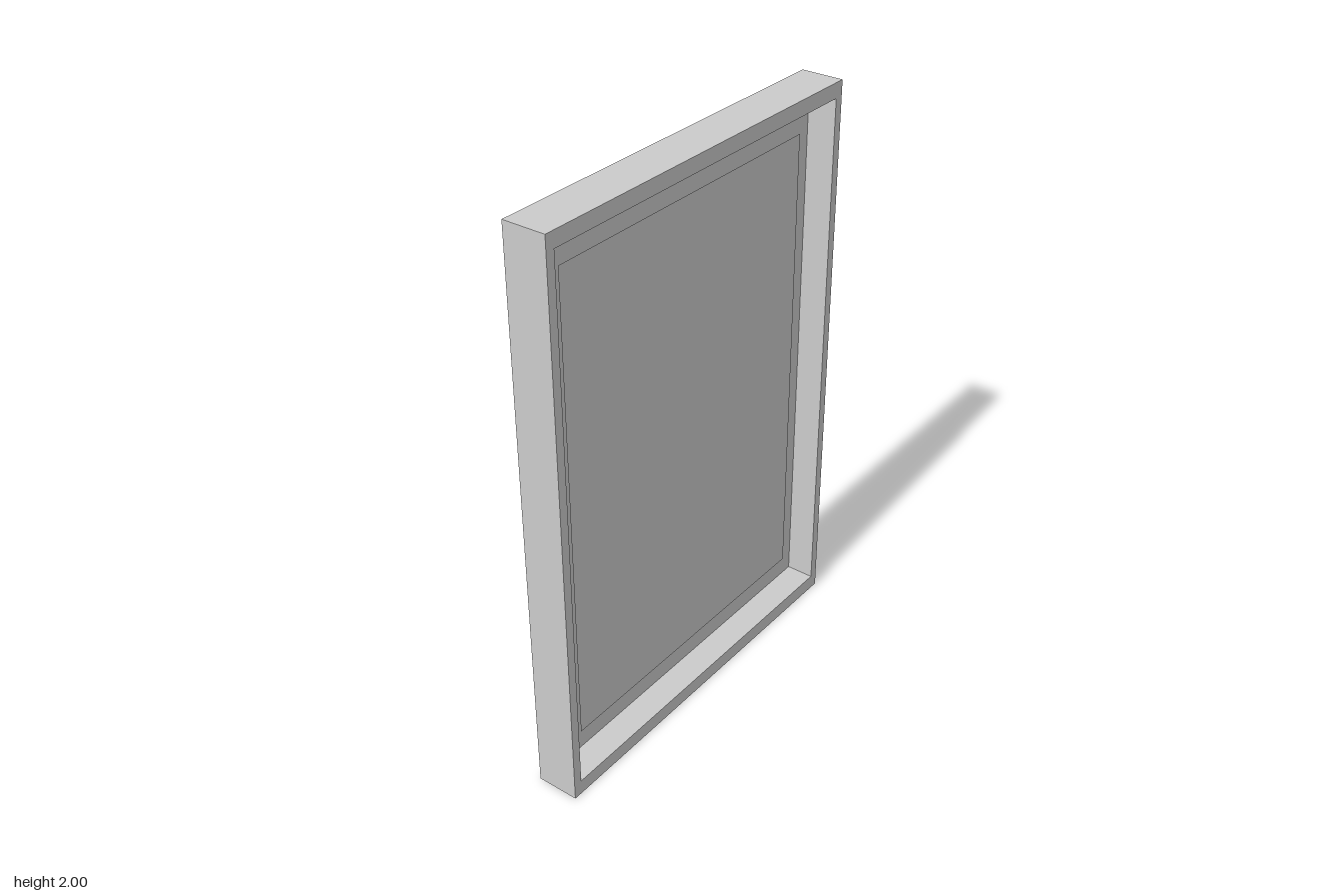
import * as THREE from 'three';

const WIDTH = 1.406, HEIGHT = 2, DEPTH = 0.15;     // outer size (along z, y, x)
const OPEN_W = 1.342, OPEN_H = 1.894;              // opening of the frame
const PANEL_W = 1.162, PANEL_H = 1.682;            // picture panel
const FLOOR_X = -0.027, PANEL_X = 0.003;           // depth of backing and panel

function rectangle(target, w, h) {
  target.moveTo(-w / 2, -h / 2);
  target.lineTo(w / 2, -h / 2);
  target.lineTo(w / 2, h / 2);
  target.lineTo(-w / 2, h / 2);
  target.closePath();
  return target;
}

export function createModel() {
  const group = new THREE.Group();
  const grey = new THREE.MeshStandardMaterial({ color: 0xcccccc });
  grey.name = 'pale grey';

  const add = (name, geometry, x) => {
    const mesh = new THREE.Mesh(geometry, grey);
    mesh.name = name;
    mesh.position.set(x, HEIGHT / 2, 0);
    group.add(mesh);
  };

  // Rim around the recess, open towards +x
  const rim = rectangle(new THREE.Shape(), WIDTH, HEIGHT);
  rim.holes.push(rectangle(new THREE.Path(), OPEN_W, OPEN_H));
  const rimGeometry = new THREE.ExtrudeGeometry(rim, { depth: DEPTH / 2 - FLOOR_X, bevelEnabled: false });
  add('frame', rimGeometry.rotateY(Math.PI / 2), FLOOR_X);

  // Solid back, whose front face is the floor of the recess
  const backDepth = FLOOR_X + DEPTH / 2;
  add('backing', new THREE.BoxGeometry(backDepth, HEIGHT, WIDTH), FLOOR_X - backDepth / 2);

  // Flat picture sheet set just in front of the backing
  add('picture', new THREE.PlaneGeometry(PANEL_W, PANEL_H).rotateY(Math.PI / 2), PANEL_X);

  return group;
}
